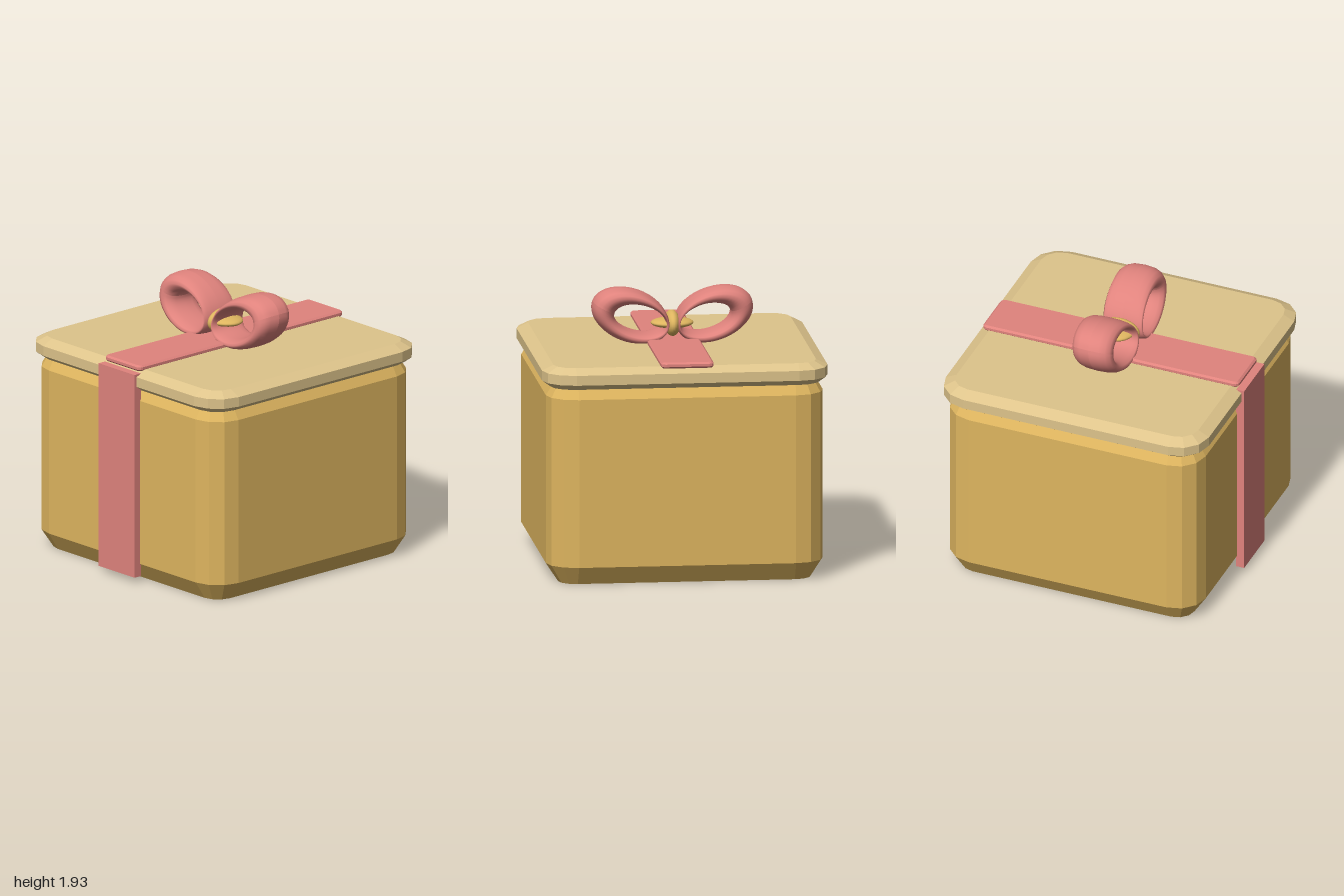
import * as THREE from 'three';

// Stacked rounded-rectangle rings [y, inset], joined with flat faces and capped
function roundedSlab(hx, hz, corner, rings) {
  const loops = rings.map(([y, inset]) => {
    const c = corner - inset, pts = [];
    const signs = [[1, 1], [-1, 1], [-1, -1], [1, -1]];
    signs.forEach(([sx, sz], q) => {
      for (let i = 0; i <= 3; i++) {
        const a = q * Math.PI / 2 + i * Math.PI / 6;
        pts.push([sx * (hx - corner) + c * Math.cos(a), y, sz * (hz - corner) + c * Math.sin(a)]);
      }
    });
    return pts;
  });
  const n = loops[0].length, pos = [];
  const tri = (a, b, c) => pos.push(...a, ...b, ...c);
  for (let r = 0; r < loops.length - 1; r++) {
    for (let i = 0; i < n; i++) {
      const j = (i + 1) % n, lo = loops[r], hi = loops[r + 1];
      tri(lo[i], hi[i], lo[j]);
      tri(lo[j], hi[i], hi[j]);
    }
  }
  const bottom = loops[0], top = loops[loops.length - 1];
  for (let i = 1; i < n - 1; i++) {
    tri(bottom[0], bottom[i], bottom[i + 1]);
    tri(top[0], top[i + 1], top[i]);
  }
  const g = new THREE.BufferGeometry();
  g.setAttribute('position', new THREE.Float32BufferAttribute(pos, 3));
  g.computeVertexNormals();
  return g;
}

// Point on a tilted ellipse
function ellipsePoint(cx, cy, a, b, tilt, u) {
  const x = a * Math.cos(u), y = b * Math.sin(u);
  return [cx + x * Math.cos(tilt) - y * Math.sin(tilt), cy + x * Math.sin(tilt) + y * Math.cos(tilt)];
}

// Bow loop: a deep tube filling the gap between an outer and an inner ellipse, leaning back
function bowLoop(side) {
  const g = new THREE.TorusGeometry(1, 0.4, 16, 48);
  const p = g.attributes.position;
  const cols = 49;
  for (let k = 0; k < p.count; k++) {
    const v = Math.floor(k / cols) / 16 * Math.PI * 2;
    const u = (k % cols) / 48 * Math.PI * 2 * side + (side < 0 ? Math.PI : 0);
    const o = ellipsePoint(0.295 * side, 1.728, 0.281, 0.184, 0.378 * side, u);
    const i = ellipsePoint(0.23 * side, 1.707, 0.182, 0.1, 0.25 * side, u);
    const w = (1 + Math.cos(v)) / 2;
    const x = i[0] + (o[0] - i[0]) * w;
    const y = i[1] + (o[1] - i[1]) * w;
    const s = Math.sin(v);
    const z = 0.148 * Math.sign(s) * Math.pow(Math.abs(s), 0.75);
    p.setXYZ(k, x, y, z - 0.008 - 0.13 * (y - 1.728));
  }
  // Reversing the sweep direction flips the faces, so restore their order
  if (side < 0) {
    const idx = g.index;
    for (let t = 0; t < idx.count; t += 3) {
      const a = idx.getX(t);
      idx.setX(t, idx.getX(t + 1));
      idx.setX(t + 1, a);
    }
  }
  g.computeVertexNormals();
  return g;
}

export function createModel() {
  const model = new THREE.Group();
  model.name = 'giftBox';
  const mat = (name, color) => {
    const m = new THREE.MeshStandardMaterial({ color });
    m.name = name;
    return m;
  };
  const gold = mat('gold', 0xdeb55f);
  const cream = mat('paleGold', 0xdec48b);
  const red = mat('ribbonRed', 0xe0837d);
  const add = (parent, name, geometry, material, x = 0, y = 0, z = 0) => {
    const mesh = new THREE.Mesh(geometry, material);
    mesh.name = name;
    mesh.position.set(x, y, z);
    parent.add(mesh);
    return mesh;
  };

  // Box and lid with chamfered edges
  add(model, 'body', roundedSlab(0.97, 0.955, 0.21,
    [[0, 0.085], [0.13, 0], [1.32, 0], [1.395, 0.045]]), gold, 0, 0, -0.008);
  add(model, 'lid', roundedSlab(1, 0.99, 0.22,
    [[1.39, 0.055], [1.43, 0], [1.5, 0], [1.54, 0.08]]), cream, 0, 0, -0.01);

  // Ribbon strips
  add(model, 'frontRibbon', new THREE.BoxGeometry(0.37, 1.48, 0.06), red, 0, 0.78, 0.97);
  add(model, 'topRibbon', roundedSlab(0.185, 0.963, 0.035,
    [[1.53, 0.012], [1.542, 0], [1.56, 0], [1.572, 0.014]]), red, 0, 0, -0.01);

  // Bow with two loops and a knot
  const bow = new THREE.Group();
  bow.name = 'bow';
  model.add(bow);
  add(bow, 'leftLoop', bowLoop(1), red);
  add(bow, 'rightLoop', bowLoop(-1), red);
  const ball = new THREE.SphereGeometry(1, 24, 16);
  add(bow, 'knot', ball, gold, 0, 1.667, -0.01).scale.set(0.055, 0.09, 0.147);
  add(bow, 'knotBand', ball, gold, 0, 1.67, -0.01).scale.set(0.15, 0.036, 0.12);
  return model;
}
